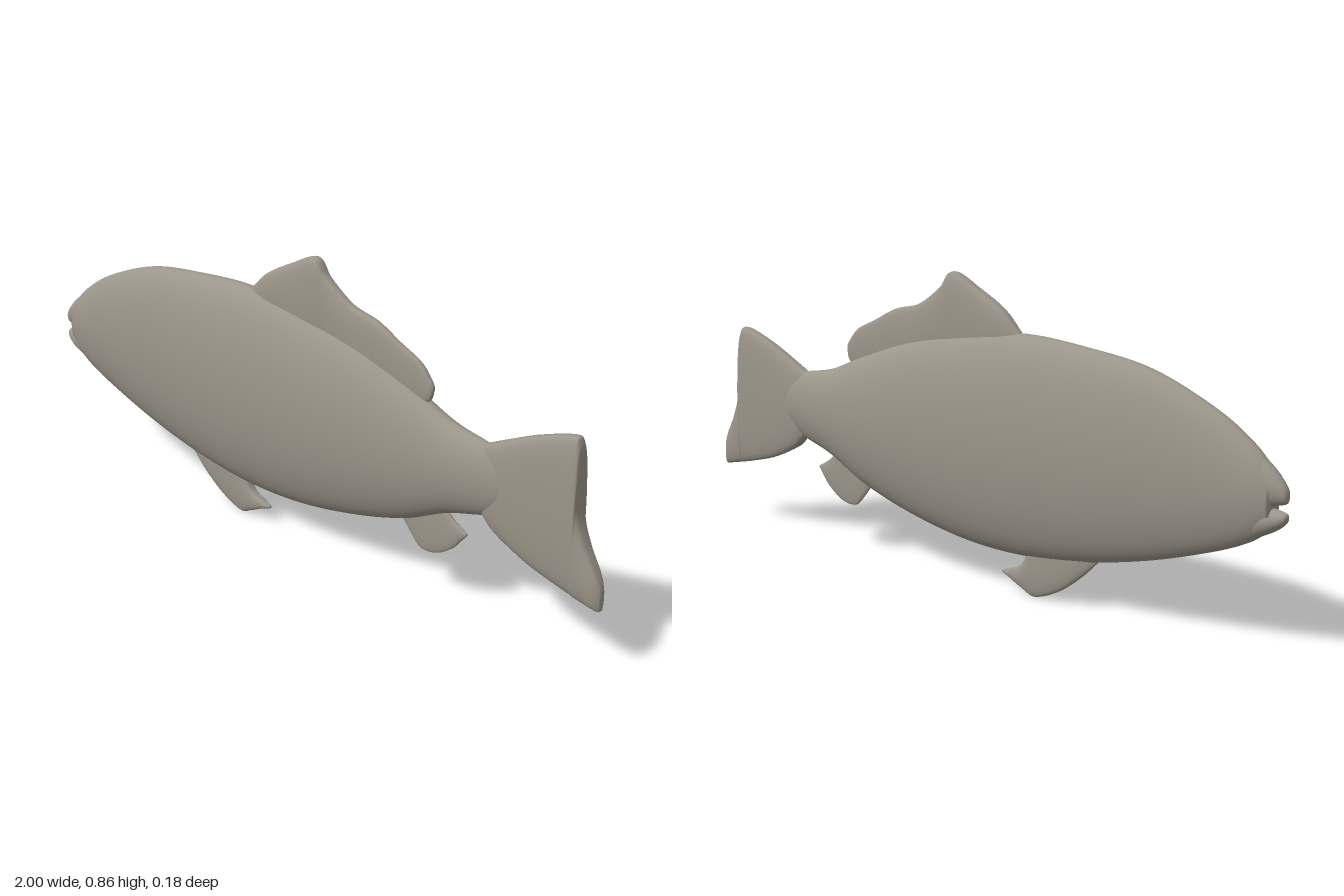
import * as THREE from 'three';

// Smooth loft along x. Each section is [x, bottom y, top y, half thickness];
// fullness below 1 makes the cross-section flatter-sided than an ellipse.
function loft(sections, steps, fullness = 1, sides = 40) {
  const outline = new THREE.CatmullRomCurve3(
    sections.map(([x, lo, hi]) => new THREE.Vector3(x, lo, hi)), false, 'catmullrom', 0.5);
  const width = new THREE.CatmullRomCurve3(
    sections.map(([x, , , w]) => new THREE.Vector3(x, w, 0)), false, 'catmullrom', 0.5);
  const positions = [], index = [];
  for (let i = 0; i <= steps; i++) {
    const p = outline.getPoint(i / steps), w = width.getPoint(i / steps).y;
    for (let j = 0; j < sides; j++) {
      const t = (j / sides) * Math.PI * 2, s = Math.sin(t);
      positions.push(p.x, (p.y + p.z) / 2 + ((p.z - p.y) / 2) * Math.cos(t),
        w * Math.sign(s) * Math.abs(s) ** fullness);
    }
  }
  for (let i = 0; i < steps; i++) {
    for (let j = 0; j < sides; j++) {
      const a = i * sides + j, b = i * sides + (j + 1) % sides;
      index.push(a, b, a + sides, b, b + sides, a + sides);
    }
  }
  // Close both ends
  const first = sections[0], last = sections[sections.length - 1], n = positions.length / 3;
  for (const [x, lo, hi] of [first, last]) positions.push(x, (lo + hi) / 2, 0);
  for (let j = 0; j < sides; j++) {
    const k = (j + 1) % sides, base = steps * sides;
    index.push(n, k, j, n + 1, base + j, base + k);
  }
  const geometry = new THREE.BufferGeometry();
  geometry.setAttribute('position', new THREE.Float32BufferAttribute(positions, 3));
  geometry.setIndex(index);
  geometry.computeVertexNormals();
  return geometry;
}

export function createModel() {
  const fish = new THREE.Group();
  fish.name = 'fish';
  const clay = new THREE.MeshStandardMaterial({ color: 0x9c958a });
  clay.name = 'warm grey';

  const add = (name, geometry) => {
    const mesh = new THREE.Mesh(geometry, clay);
    mesh.name = name;
    fish.add(mesh);
  };

  // Trunk from the corner of the mouth to the tail root
  add('body', loft([
    [-0.96, 0.325, 0.47, 0.028], [-0.9, 0.282, 0.53, 0.043], [-0.79, 0.235, 0.6, 0.055],
    [-0.6, 0.175, 0.675, 0.071], [-0.4, 0.132, 0.706, 0.083], [-0.2, 0.111, 0.72, 0.09],
    [0, 0.118, 0.702, 0.09], [0.2, 0.155, 0.66, 0.083], [0.38, 0.21, 0.597, 0.069],
    [0.52, 0.278, 0.54, 0.054], [0.635, 0.315, 0.517, 0.039], [0.7, 0.345, 0.49, 0.027],
    [0.73, 0.38, 0.455, 0.01],
  ], 96, 1, 56));

  // Lips on either side of the mouth notch
  add('upperJaw', loft([
    [-1, 0.4, 0.422, 0.006], [-0.995, 0.394, 0.435, 0.014], [-0.98, 0.389, 0.455, 0.021],
    [-0.95, 0.383, 0.485, 0.028], [-0.9, 0.39, 0.52, 0.028], [-0.86, 0.4, 0.52, 0.02],
  ], 24));
  add('lowerJaw', loft([
    [-1, 0.352, 0.367, 0.006], [-0.995, 0.344, 0.371, 0.014], [-0.98, 0.33, 0.375, 0.021],
    [-0.95, 0.312, 0.379, 0.028], [-0.9, 0.29, 0.385, 0.028], [-0.86, 0.29, 0.385, 0.02],
  ], 24));

  // Back fin, thinning towards the tail
  add('dorsalFin', loft([
    [-0.19, 0.66, 0.715, 0.012], [-0.125, 0.64, 0.777, 0.023], [-0.04, 0.63, 0.825, 0.026],
    [0.05, 0.62, 0.865, 0.027], [0.095, 0.62, 0.818, 0.024], [0.175, 0.6, 0.765, 0.021],
    [0.265, 0.58, 0.742, 0.018], [0.34, 0.57, 0.705, 0.015], [0.41, 0.56, 0.672, 0.012],
    [0.445, 0.572, 0.635, 0.01], [0.457, 0.6, 0.618, 0.004],
  ], 70, 0.55));

  // Belly fin, swept back
  add('pelvicFin', loft([
    [-0.45, 0.14, 0.18, 0.006], [-0.39, 0.083, 0.2, 0.014], [-0.32, 0.032, 0.2, 0.017],
    [-0.245, 0.002, 0.17, 0.018], [-0.2, 0.018, 0.09, 0.018], [-0.155, 0.04, 0.065, 0.013],
    [-0.128, 0.049, 0.056, 0.005],
  ], 42, 0.6));

  // Small fin below the tail root
  add('analFin', loft([
    [0.36, 0.22, 0.28, 0.006], [0.4, 0.172, 0.3, 0.009], [0.435, 0.14, 0.3, 0.01],
    [0.49, 0.146, 0.3, 0.01], [0.54, 0.18, 0.262, 0.01], [0.565, 0.21, 0.247, 0.008],
    [0.582, 0.23, 0.238, 0.004],
  ], 42, 0.6));

  // Tail fin, with the longer lobe below
  add('tailFin', loft([
    [0.6, 0.34, 0.5, 0.02], [0.64, 0.313, 0.52, 0.026], [0.68, 0.278, 0.54, 0.028],
    [0.78, 0.232, 0.588, 0.028], [0.885, 0.203, 0.624, 0.028], [0.908, 0.198, 0.61, 0.028],
    [0.915, 0.196, 0.55, 0.028], [0.92, 0.195, 0.43, 0.028], [0.945, 0.19, 0.352, 0.026],
    [0.98, 0.183, 0.287, 0.021], [0.996, 0.181, 0.25, 0.012], [1, 0.19, 0.225, 0.004],
  ], 77, 0.5));

  return fish;
}
